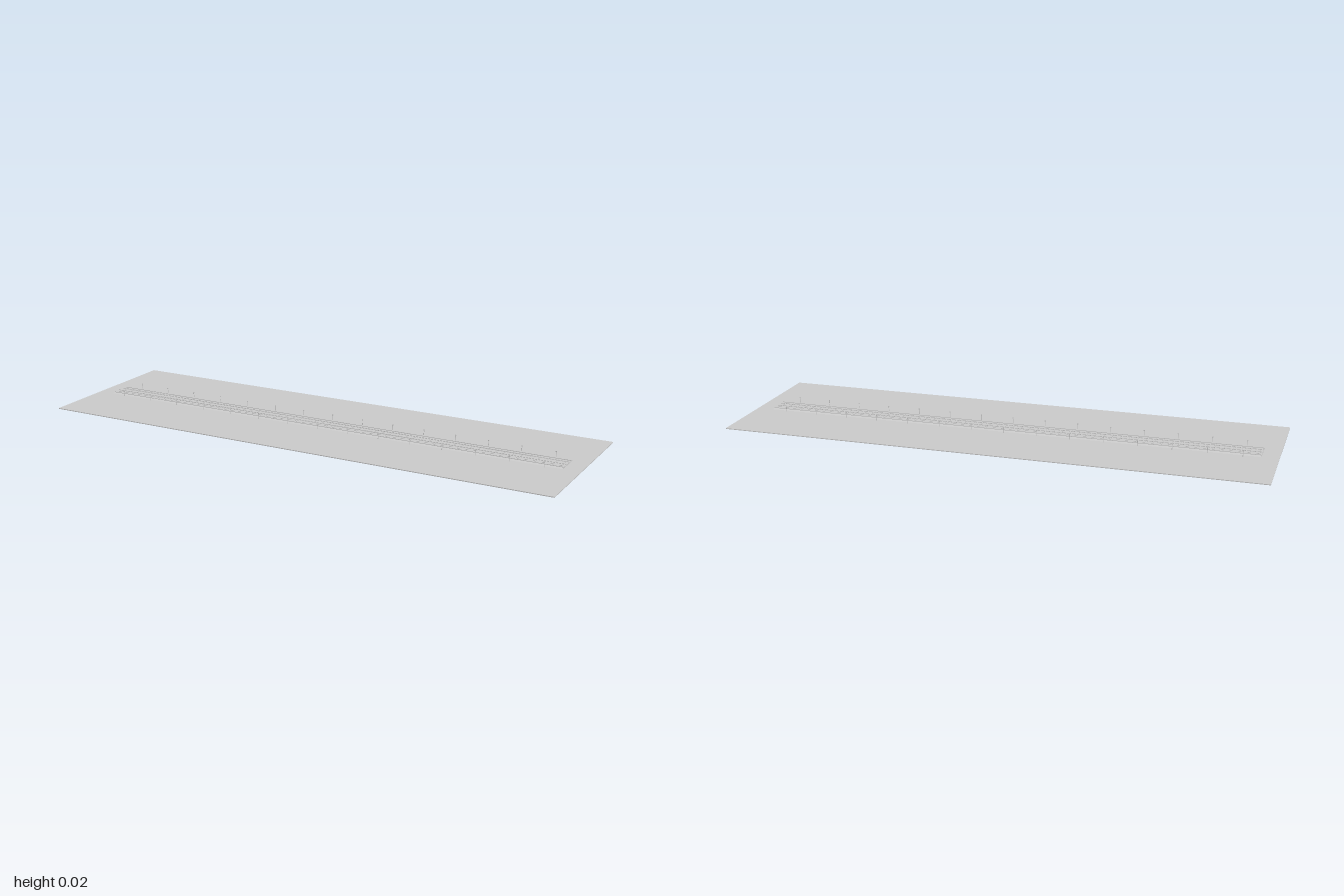
import * as THREE from 'three';

const grey = new THREE.MeshStandardMaterial({ color: 0xcccccc });
const LENGTH = 1.875;
const PLATE = 0.003;

function box(parent, name, w, h, d, x, y, z) {
  const mesh = new THREE.Mesh(new THREE.BoxGeometry(w, h, d), grey);
  mesh.name = name;
  mesh.position.set(x, y + h / 2, z); // y is the underside
  parent.add(mesh);
  return mesh;
}

// Trapezoid bed of stones, extruded along x
function ballastBed() {
  const section = new THREE.Shape([
    new THREE.Vector2(-0.05, 0), new THREE.Vector2(0.05, 0),
    new THREE.Vector2(0.0375, 0.003), new THREE.Vector2(-0.0375, 0.003),
  ]);
  const geo = new THREE.ExtrudeGeometry(section, { depth: LENGTH, bevelEnabled: false });
  geo.translate(0, 0, -LENGTH / 2).rotateY(Math.PI / 2);
  const mesh = new THREE.Mesh(geo, grey);
  mesh.name = 'ballastBed';
  mesh.position.y = PLATE;
  return mesh;
}

// Slim trackside post with a small head
function tracksidePost(x, z) {
  const post = new THREE.Group();
  post.name = 'tracksidePost';
  const pole = new THREE.Mesh(new THREE.CylinderGeometry(0.0008, 0.001, 0.019, 8), grey);
  pole.name = 'pole';
  pole.position.y = 0.0095;
  post.add(pole);
  box(post, 'postHead', 0.004, 0.003, 0.002, 0, 0.018, 0);
  post.position.set(x, PLATE, z);
  return post;
}

export function createModel() {
  const model = new THREE.Group();
  model.name = 'railwayTrack';

  box(model, 'groundPlate', 2, PLATE, 0.625, 0, 0, 0);
  model.add(ballastBed());

  // Sleepers across the bed
  const sleepers = new THREE.Group();
  sleepers.name = 'sleepers';
  for (let i = 0; i < 60; i++) {
    const x = (i - 29.5) * (LENGTH / 60);
    box(sleepers, 'sleeper', 0.009, 0.002, 0.054, x, 0.006, 0);
  }
  model.add(sleepers);

  // Rails: foot, web and head on each side
  for (const side of [-1, 1]) {
    const rail = new THREE.Group();
    rail.name = side > 0 ? 'frontRail' : 'backRail';
    const z = side * 0.0135;
    box(rail, 'railFoot', LENGTH, 0.0005, 0.003, 0, 0.008, z);
    box(rail, 'railWeb', LENGTH, 0.001, 0.0008, 0, 0.0085, z);
    box(rail, 'railHead', LENGTH, 0.0006, 0.0016, 0, 0.0094, z);
    model.add(rail);

    // Low kerb along the shoulder of the bed
    box(model, 'shoulderKerb', LENGTH, 0.002, 0.004, 0, 0.006, side * 0.0385);

    // Posts at regular spacing
    for (let i = -7; i <= 7; i++) model.add(tracksidePost(i * 0.125, side * 0.061));
  }
  return model;
}
